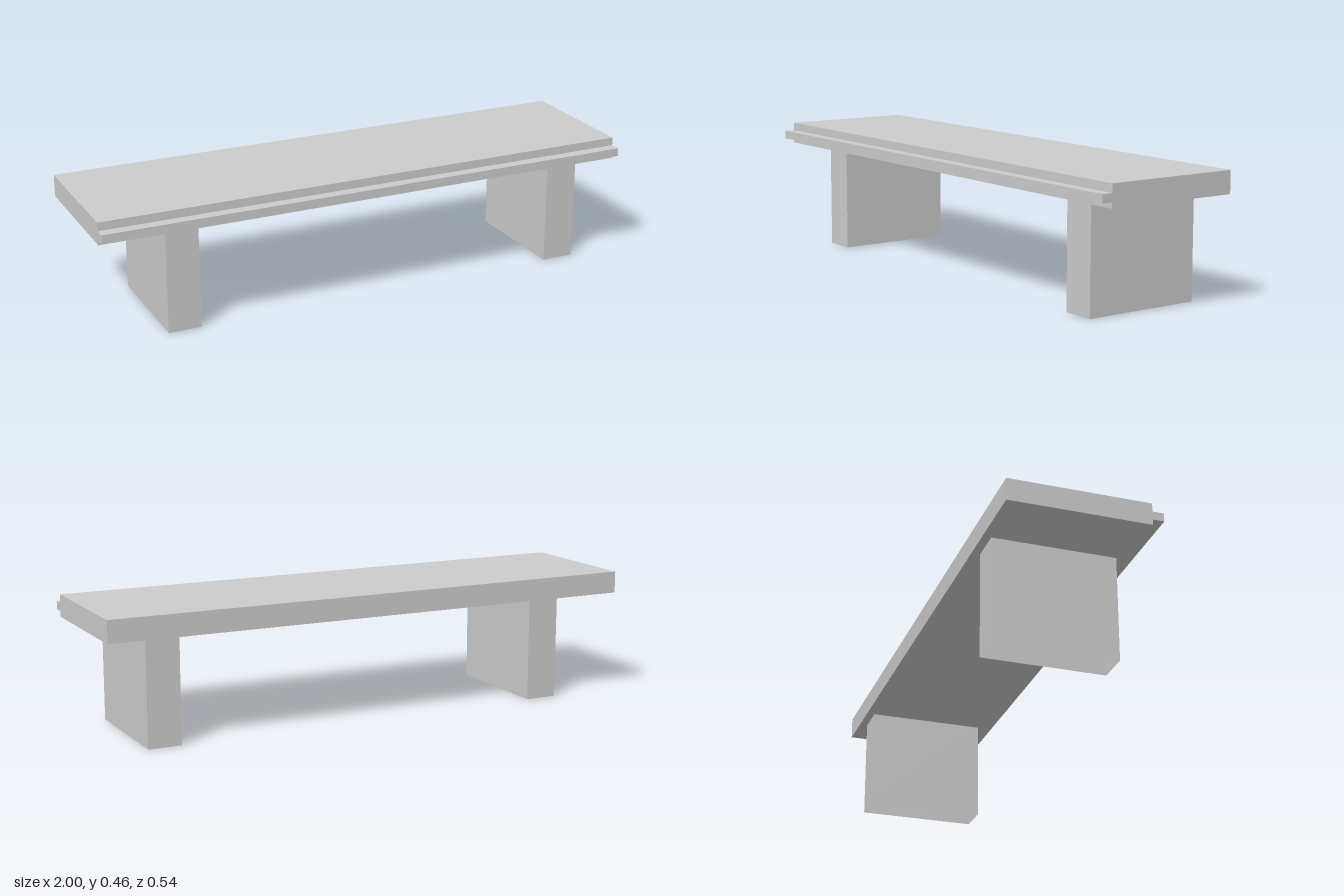
import * as THREE from 'three';

const stone = new THREE.MeshStandardMaterial({ color: 0xcccccc, side: THREE.DoubleSide });
stone.name = 'light grey';

// Seat slab with a narrow tongue along its front edge, extruded along x
function makeSeat() {
  const profile = [
    [0.27, 0.38], [0.27, 0.46], [-0.23, 0.46], [-0.23, 0.43],
    [-0.27, 0.43], [-0.27, 0.4], [-0.23, 0.4], [-0.23, 0.38],
  ].map(([x, y]) => new THREE.Vector2(x, y));
  const geometry = new THREE.ExtrudeGeometry(new THREE.Shape(profile), { depth: 2, bevelEnabled: false });
  geometry.rotateY(Math.PI / 2).translate(-1, 0, 0);
  const seat = new THREE.Mesh(geometry, stone);
  seat.name = 'seat';
  return seat;
}

// Hollow leg: four walls, open at the top and bottom
function makeLeg(name, x) {
  const geometry = new THREE.BoxGeometry(0.12, 0.38, 0.44);
  const index = Array.from(geometry.index.array);
  index.splice(12, 12); // drop the top and bottom faces
  geometry.setIndex(index);
  geometry.clearGroups();
  const leg = new THREE.Mesh(geometry, stone);
  leg.position.set(x, 0.19, -0.02);
  leg.name = name;
  return leg;
}

export function createModel() {
  const bench = new THREE.Group();
  bench.name = 'bench';
  bench.add(makeSeat(), makeLeg('rightLeg', -0.7), makeLeg('leftLeg', 0.8));
  return bench;
}
